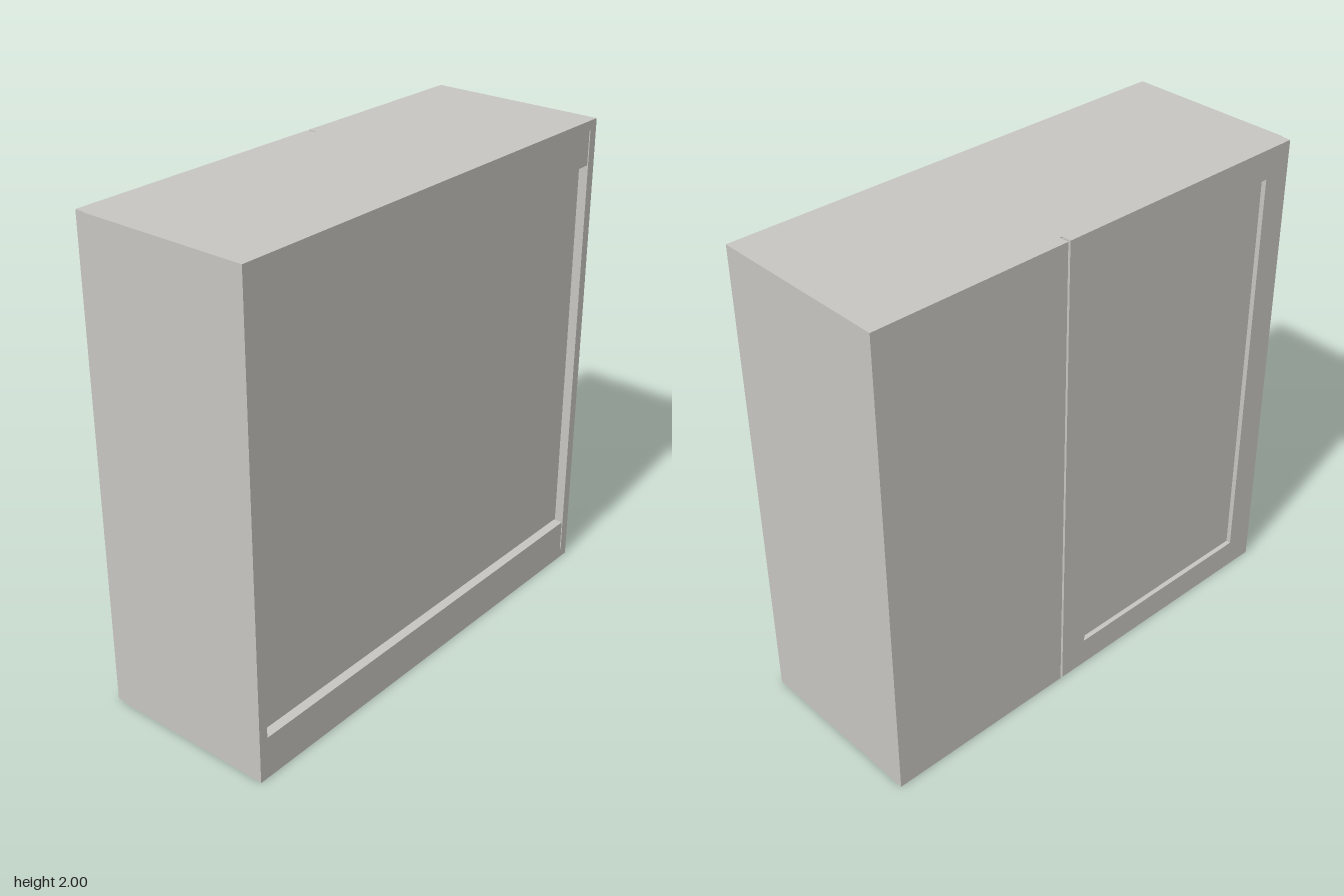
import * as THREE from 'three';

const T = 0.04;            // board thickness
const X0 = -0.34, X1 = 0.38; // carcass depth range
const DOOR_X = -0.38;      // outer face of door and filler

export function createModel() {
  const group = new THREE.Group();
  group.name = 'cornerWallCabinet';
  const paint = new THREE.MeshStandardMaterial({ color: 0xc8c6c2 });
  paint.name = 'paleGreyPaint';

  // Board given by its min and max corners
  const board = (name, x0, x1, y0, y1, z0, z1) => {
    const mesh = new THREE.Mesh(new THREE.BoxGeometry(x1 - x0, y1 - y0, z1 - z0), paint);
    mesh.position.set((x0 + x1) / 2, (y0 + y1) / 2, (z0 + z1) / 2);
    mesh.name = name;
    group.add(mesh);
  };

  // Carcass: two sides with top and bottom between them
  board('frontSide', X0, X1, 0, 2, 1 - T, 1);
  board('backSide', X0, X1, 0, 2, -1, -1 + T);
  board('bottomBoard', X0, X1, 0, T, -1 + T, 1 - T);
  board('topBoard', X0, X1, 2 - T, 2, -1 + T, 1 - T);

  // Recessed rear panel with hanging rails, leaving a thin slot at one side
  board('rearPanel', X1 - T - 0.02, X1 - T, T, 2 - T, -1 + T, 1 - T);
  board('lowerHangingRail', X1 - T, X1, T, 0.18, -0.953, 1 - T);
  board('upperHangingRail', X1 - T, X1, 1.82, 2 - T, -0.953, 1 - T);

  // Fixed blind panel beside the door
  board('blindPanel', DOOR_X, X0, 0, 2, -1, -0.165);

  // Framed door with a recessed centre panel
  const z0 = -0.155, z1 = 0.995, w = 0.122;
  board('doorStileInner', DOOR_X, X0, 0, 2, z0, z0 + w);
  board('doorStileOuter', DOOR_X, X0, 0, 2, z1 - w, z1);
  board('doorRailLower', DOOR_X, X0, 0, w, z0 + w, z1 - w);
  board('doorRailUpper', DOOR_X, X0, 2 - w, 2, z0 + w, z1 - w);
  board('doorCentrePanel', DOOR_X + 0.02, X0, w, 2 - w, z0 + w, z1 - w);

  return group;
}
